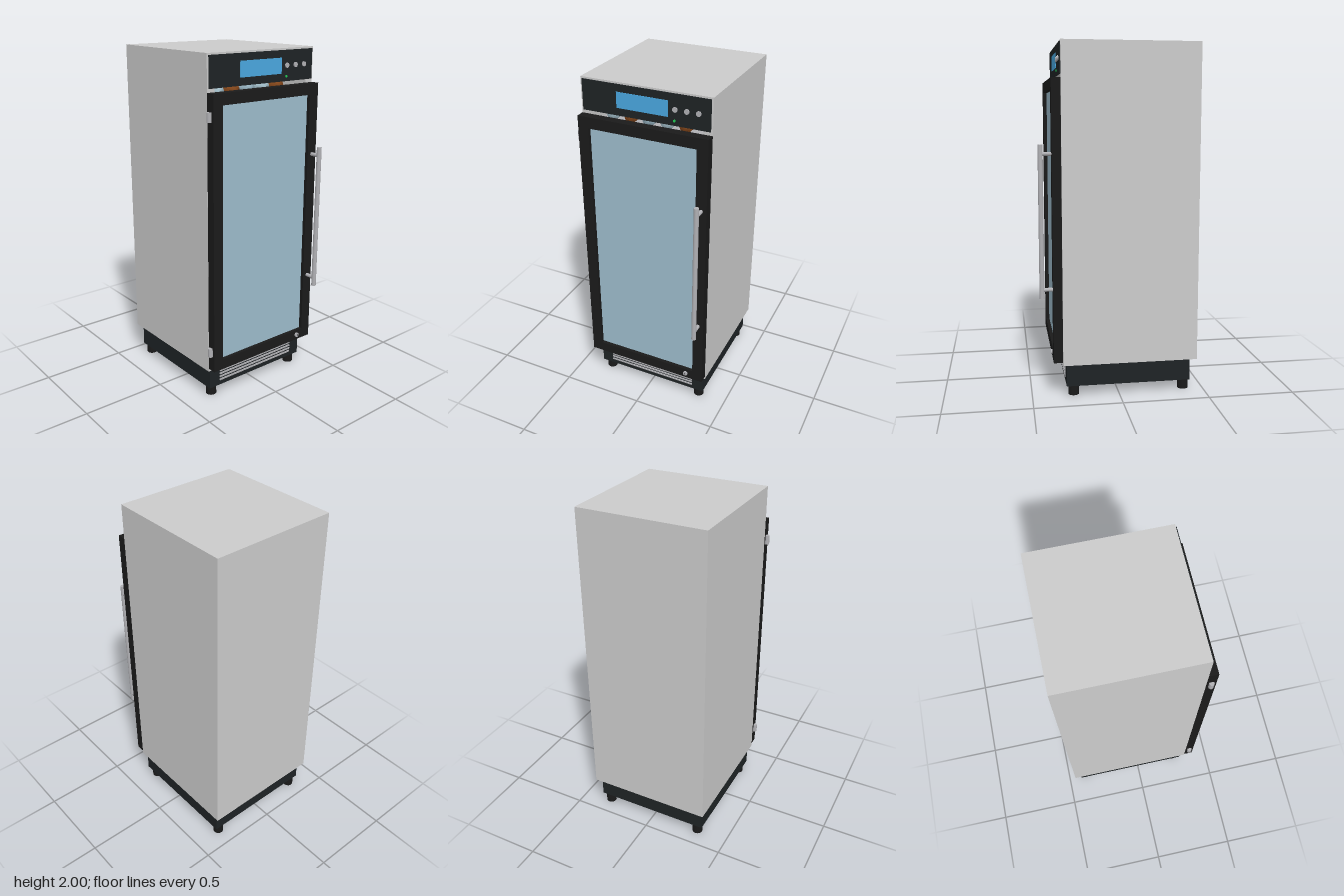
import * as THREE from 'three';

const mat = (color) => new THREE.MeshStandardMaterial({ color });
const GREY = mat(0xcccccc), BLACK = mat(0x1a1a1a), CHARCOAL = mat(0x1e2325), STEEL = mat(0xb0b0b4);
const SCREEN = mat(0x4aa8e0), GLASS = mat(0x9dbccc), GREEN = mat(0x22cc55), WOOD = mat(0x8a5a33);
const WINES = [mat(0xa9c6d2), mat(0x8a4a1c), mat(0x9bb9c8)];

export function createModel() {
  const root = new THREE.Group();
  root.name = 'wineCooler';

  const add = (parent, name, geometry, material) => {
    const mesh = new THREE.Mesh(geometry, material);
    mesh.name = name;
    parent.add(mesh);
    return mesh;
  };
  const group = (name) => {
    const g = new THREE.Group();
    g.name = name;
    root.add(g);
    return g;
  };
  // Box given by its extents
  const box = (parent, name, material, x0, x1, y0, y1, z0, z1) => {
    const mesh = add(parent, name, new THREE.BoxGeometry(x1 - x0, y1 - y0, z1 - z0), material);
    mesh.position.set((x0 + x1) / 2, (y0 + y1) / 2, (z0 + z1) / 2);
  };
  // Cylinder standing along y, or along z when alongZ is true
  const rod = (parent, name, material, r, length, x, y, z, alongZ = false, sides = 24) => {
    const geometry = new THREE.CylinderGeometry(r, r, length, sides);
    if (alongZ) geometry.rotateX(Math.PI / 2);
    add(parent, name, geometry, material).position.set(x, y, z);
  };
  // Rectangle with a rectangular hole, extruded along z
  const frame = (parent, name, material, [x0, x1, y0, y1], [a0, a1, b0, b1], z0, z1) => {
    const rect = (C, l, r, b, t) => new C([[l, b], [r, b], [r, t], [l, t]].map((p) => new THREE.Vector2(...p)));
    const shape = rect(THREE.Shape, x0, x1, y0, y1);
    shape.holes.push(rect(THREE.Path, a0, a1, b0, b1));
    const geometry = new THREE.ExtrudeGeometry(shape, { depth: z1 - z0, bevelEnabled: false });
    add(parent, name, geometry, material).position.z = z0;
  };

  // Cabinet: hollow shell with a closed back
  const cabinet = group('cabinet');
  frame(cabinet, 'cabinetShell', GREY, [-0.37, 0.385, 0.19, 2], [-0.32, 0.335, 0.24, 1.822], -0.42, 0.325);
  box(cabinet, 'backPanel', GREY, -0.37, 0.385, 0.19, 2, -0.455, -0.42);

  // Shelves carrying lying bottles
  const storage = group('storage');
  const bottleProfile = [[0, 0], [0.033, 0], [0.033, 0.36], [0.026, 0.4], [0.012, 0.44], [0.012, 0.54], [0, 0.54]];
  const bottle = new THREE.LatheGeometry(bottleProfile.map((p) => new THREE.Vector2(...p)), 20);
  bottle.rotateX(-Math.PI / 2);
  for (let row = 0; row < 6; row++) {
    const y = 1.74 - row * 0.28;
    box(storage, 'shelf', STEEL, -0.32, 0.335, y - 0.008, y, -0.4, 0.27);
    box(storage, 'shelfFront', WOOD, -0.32, 0.335, y - 0.025, y + 0.01, 0.27, 0.285);
    for (let i = 0; i < 5; i++) {
      add(storage, 'bottle', bottle, WINES[(i + row * 2) % 3]).position.set(-0.231 + i * 0.108, y + 0.044, 0.25);
    }
  }

  // Control panel
  const controls = group('controlPanel');
  box(controls, 'panel', CHARCOAL, -0.36, 0.375, 1.82, 1.99, 0.325, 0.331);
  box(controls, 'display', SCREEN, -0.155, 0.14, 1.863, 1.95, 0.33, 0.334);
  for (const x of [0.18, 0.245, 0.31]) rod(controls, 'button', STEEL, 0.014, 0.008, x, 1.907, 0.333, true);
  rod(controls, 'indicatorLight', GREEN, 0.007, 0.006, 0.177, 1.847, 0.332, true, 12);

  // Door with recessed glass, handle, lock and hinges
  const door = group('door');
  const opening = [-0.308, 0.322, 0.272, 1.737];
  frame(door, 'doorFrame', BLACK, [-0.37, 0.385, 0.21, 1.8], opening, 0.326, 0.378);
  box(door, 'glass', GLASS, ...opening, 0.345, 0.357);
  rod(door, 'handleBar', STEEL, 0.014, 0.86, 0.353, 1.01, 0.438);
  for (const y of [0.63, 1.39]) rod(door, 'handleMount', STEEL, 0.011, 0.062, 0.353, y, 0.407, true);
  rod(door, 'lock', STEEL, 0.014, 0.01, 0.278, 0.243, 0.382, true);
  box(door, 'keySlot', BLACK, 0.276, 0.28, 0.236, 0.25, 0.386, 0.3875);
  for (const y of [0.328, 1.678]) rod(door, 'hinge', STEEL, 0.014, 0.052, -0.376, y, 0.35);

  // Plinth with ventilation slats, and feet
  const base = group('base');
  box(base, 'plinth', CHARCOAL, -0.348, 0.363, 0.06, 0.19, -0.418, 0.304);
  for (let i = 0; i < 5; i++) {
    const y = 0.095 + i * 0.02;
    box(base, 'ventSlat', STEEL, -0.275, 0.29, y - 0.005, y + 0.005, 0.303, 0.309);
  }
  for (const x of [-0.306, 0.321]) {
    for (const z of [-0.387, 0.261]) rod(base, 'foot', BLACK, 0.031, 0.062, x, 0.031, z);
  }
  return root;
}
